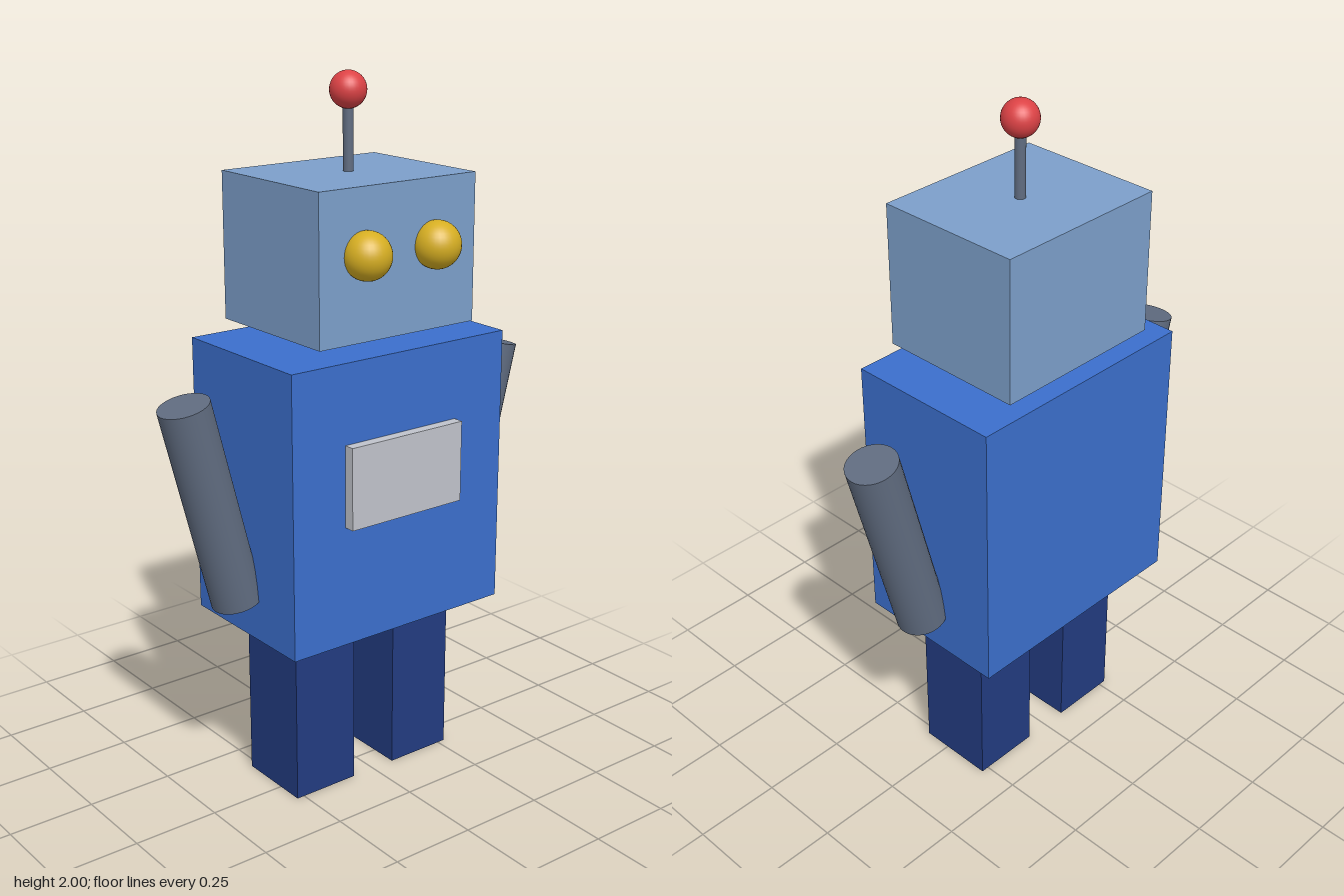
import * as THREE from 'three';

const paint = (name, color) => {
  const m = new THREE.MeshStandardMaterial({ color });
  m.name = name;
  return m;
};

export function createModel() {
  const robot = new THREE.Group();
  robot.name = 'robot';
  const midZ = -0.033; // depth of the body's centre line

  const blue = paint('bodyBlue', 0x3b6fcc);
  const paleBlue = paint('headBlue', 0x7c9fca);
  const navy = paint('legNavy', 0x223b80);
  const steel = paint('steelGrey', 0x606c80);
  const silver = paint('panelSilver', 0xc0c3cb);
  const gold = paint('eyeGold', 0xd6ae22);
  const red = paint('tipRed', 0xdc4245);

  const add = (name, geometry, material, x, y, z) => {
    const mesh = new THREE.Mesh(geometry, material);
    mesh.name = name;
    mesh.position.set(x, y, z);
    robot.add(mesh);
    return mesh;
  };

  // Torso with chest panel, and the head floating just above it
  add('torso', new THREE.BoxGeometry(0.716, 0.793, 0.461), blue, 0, 0.8965, midZ);
  add('chestPanel', new THREE.BoxGeometry(0.376, 0.23, 0.06), silver, 0, 0.956, 0.198);
  add('head', new THREE.BoxGeometry(0.516, 0.405, 0.43), paleBlue, 0, 1.5355, midZ);

  // Antenna
  add('antennaRod', new THREE.CylinderGeometry(0.0145, 0.0145, 0.2, 24), steel, 0, 1.825, midZ);
  add('antennaTip', new THREE.SphereGeometry(0.05, 32, 20), red, 0, 1.95, midZ);

  // Paired parts: eyes, outward-tilted arms and legs
  for (const [side, s] of [['left', 1], ['right', -1]]) {
    add(side + 'Eye', new THREE.SphereGeometry(0.065, 32, 20), gold, s * 0.116, 1.563, 0.197);
    const arm = add(side + 'Arm', new THREE.CylinderGeometry(0.0715, 0.0715, 0.6, 32), steel, s * 0.46, 0.898, midZ);
    arm.rotation.z = -s * 0.25;
    add(side + 'Leg', new THREE.BoxGeometry(0.202, 0.493, 0.23), navy, s * 0.172, 0.2465, midZ);
  }
  return robot;
}
